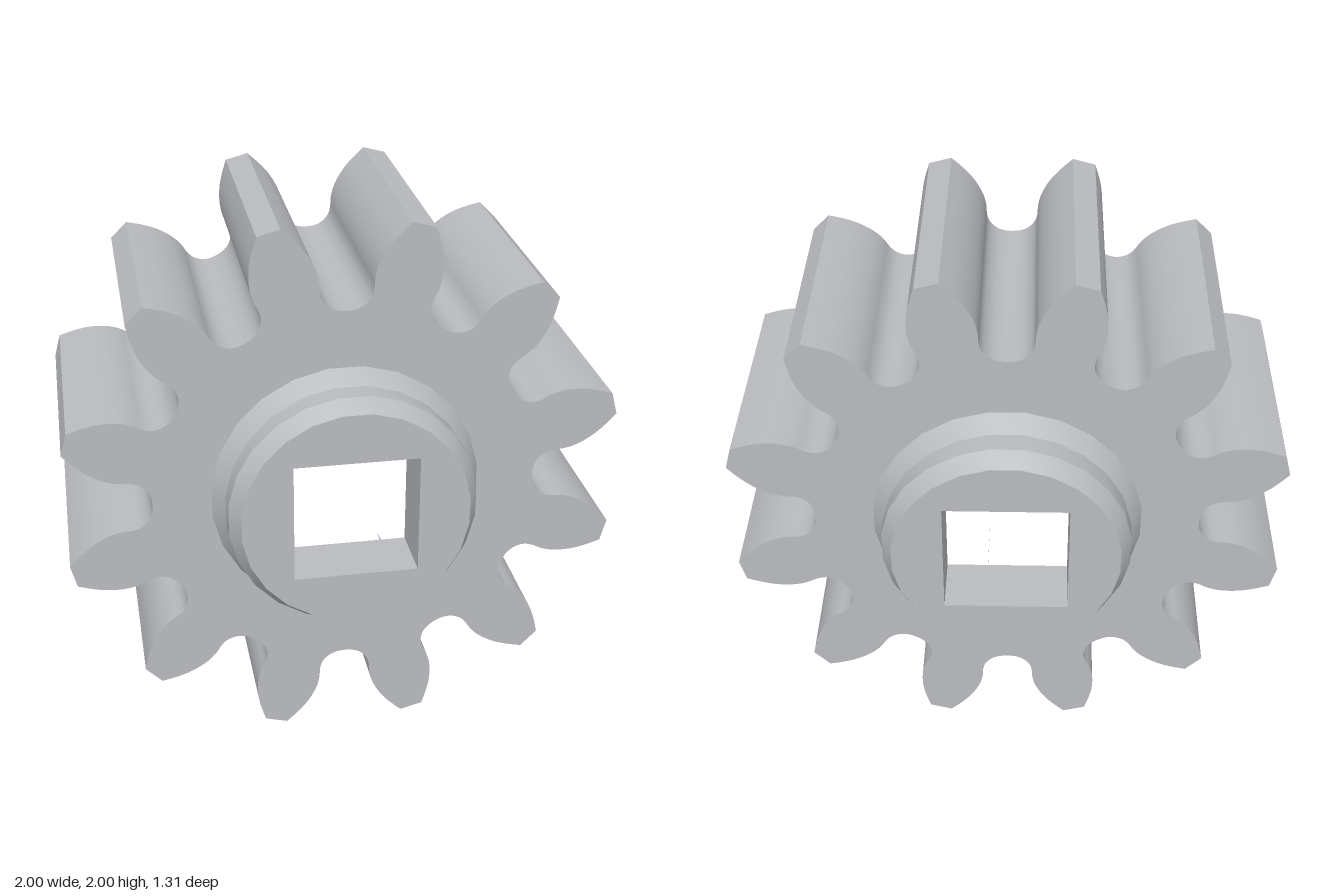
import * as THREE from 'three';
import { toCreasedNormals } from 'three/addons/utils/BufferGeometryUtils.js';

const TEETH = 12, HUB_SIDES = 24;
const HALF_WIDTH = 0.437, HUB_END = 0.657, BORE = 0.222;

const steel = new THREE.MeshStandardMaterial({ color: 0xb9bbbf });
steel.name = 'steel grey';

function part(name, geometry) {
  const mesh = new THREE.Mesh(geometry, steel);
  mesh.name = name;
  return mesh;
}

// Square hole for the drive shaft
function squareHole() {
  return new THREE.Path([[-1, -1], [-1, 1], [1, 1], [1, -1]]
    .map(([x, y]) => new THREE.Vector2(x * BORE, y * BORE)));
}

// Outline: the same rounded gap repeated round the wheel, joined by flat tooth tips
function gearShape() {
  const half = new THREE.SplineCurve([
    [0, 0.695], [0.03, 0.698], [0.06, 0.711], [0.085, 0.738], [0.095, 0.77], [0.097, 0.805],
    [0.106, 0.845], [0.124, 0.885], [0.15, 0.925], [0.183, 0.962], [0.224, 1],
  ].map(([x, y]) => new THREE.Vector2(x, y))).getPoints(30);
  const gap = [
    ...half.slice(1).reverse().map((p) => new THREE.Vector2(-p.x, p.y)),
    ...half,
  ];
  const outline = [];
  for (let i = 0; i < TEETH; i++) {
    const angle = -i * Math.PI * 2 / TEETH;
    for (const p of gap) outline.push(p.clone().rotateAround(new THREE.Vector2(), angle));
  }
  const shape = new THREE.Shape(outline);
  shape.holes.push(squareHole());
  return shape;
}

// One hub end pointing along +z: flared collar, chamfered rim, end face and bore walls
function hubEnd(name) {
  const group = new THREE.Group();
  group.name = name;
  const step = Math.PI * 2 / HUB_SIDES;

  const profile = [[0.488, HALF_WIDTH], [0.446, 0.51], [0.446, 0.592], [0.408, HUB_END]]
    .map(([r, z]) => new THREE.Vector2(r, z));
  const collar = new THREE.LatheGeometry(profile, HUB_SIDES, step / 2);
  collar.rotateX(Math.PI / 2);
  group.add(part('hubCollar', toCreasedNormals(collar, 0.4)));

  const rim = [];
  for (let i = 0; i < HUB_SIDES; i++) {
    const a = (i + 0.5) * step;
    rim.push(new THREE.Vector2(Math.cos(a) * 0.408, Math.sin(a) * 0.408));
  }
  const face = new THREE.Shape(rim);
  face.holes.push(squareHole());
  const faceMesh = part('hubFace', new THREE.ShapeGeometry(face));
  faceMesh.position.z = HUB_END;
  group.add(faceMesh);

  // Four-sided sleeve turned inside out
  const r = BORE * Math.SQRT2;
  let bore = new THREE.CylinderGeometry(r, r, HUB_END - HALF_WIDTH, 4, 1, true, Math.PI / 4);
  bore.rotateX(Math.PI / 2);
  bore.index.array.reverse();
  bore = bore.toNonIndexed();
  bore.computeVertexNormals();
  const boreMesh = part('boreWalls', bore);
  boreMesh.position.z = (HUB_END + HALF_WIDTH) / 2;
  group.add(boreMesh);
  return group;
}

export function createModel() {
  const gear = new THREE.Group();
  gear.name = 'spurGear';

  const body = new THREE.ExtrudeGeometry(gearShape(), {
    depth: HALF_WIDTH * 2, bevelEnabled: false,
  });
  body.translate(0, 0, -HALF_WIDTH);
  gear.add(part('toothedWheel', toCreasedNormals(body, 0.5)));

  const back = hubEnd('backHub');
  back.rotation.y = Math.PI;
  gear.add(hubEnd('frontHub'), back);

  gear.position.y = 1;
  const model = new THREE.Group();
  model.name = 'gearModel';
  model.add(gear);
  return model;
}
